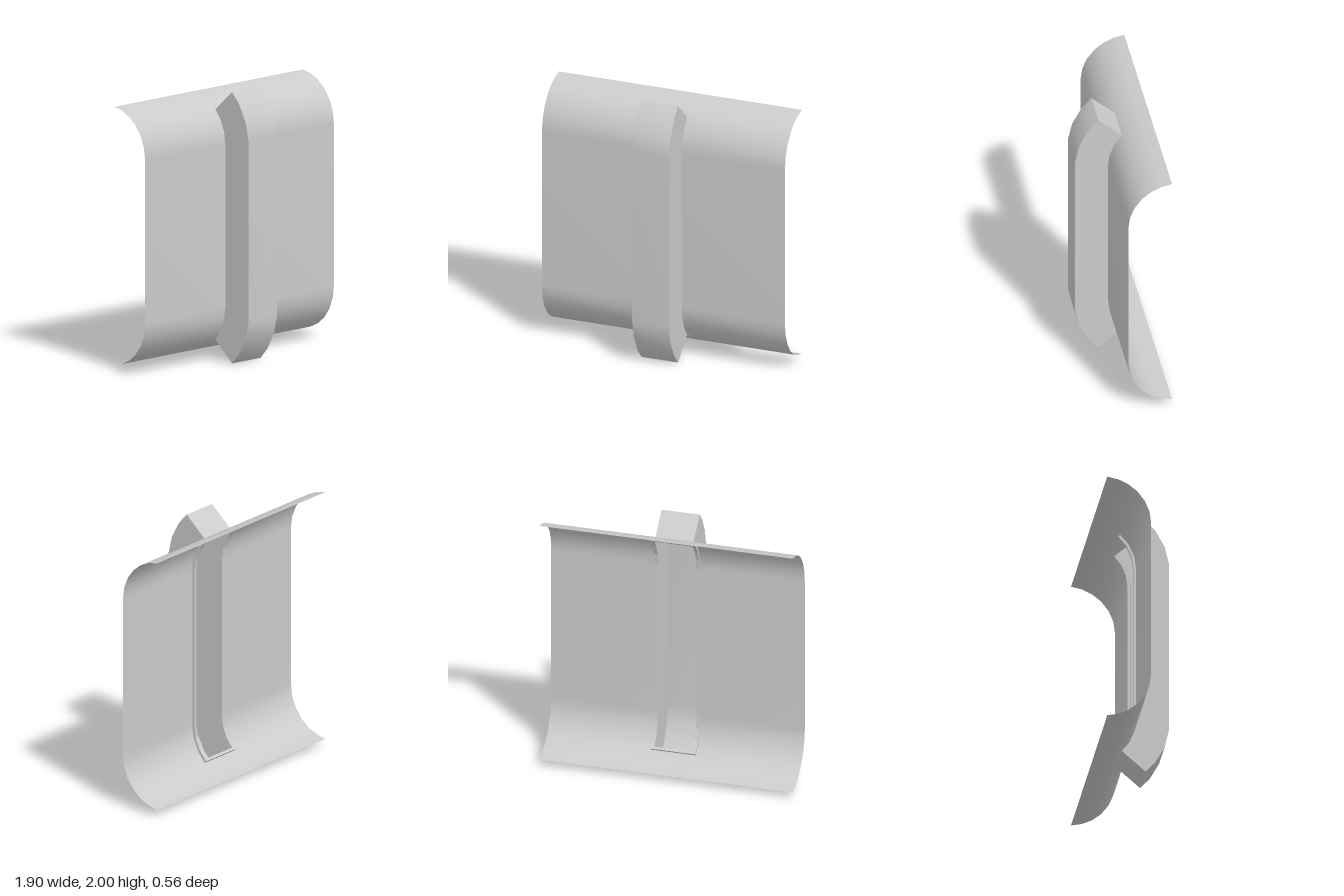
import * as THREE from 'three';

const R = 0.351, ZC = -0.311, YC = 1.6;     // bend radius and upper bend centre
const SLOT = 0.782, RIM = 0.841, END = 1.482; // bend angles: slot end, rim end, panel edge
const W = 0.143, RIM_W = 0.167, PANEL_W = 0.95;

// Surface over a grid of points; skip(row, column) leaves holes
function grid(rows, skip = () => false) {
  const n = rows[0].length, index = [];
  for (let i = 0; i < rows.length - 1; i++) {
    for (let j = 0; j < n - 1; j++) {
      if (skip(i, j)) continue;
      const a = i * n + j, b = a + 1, c = a + n, d = c + 1;
      index.push(a, b, d, a, d, c);
    }
  }
  const g = new THREE.BufferGeometry().setFromPoints(rows.flat());
  g.setIndex(index);
  g.computeVertexNormals();
  return g;
}

// Mirrors an upper [z, y] profile (top first) to the bottom
const mirrored = (top) => [...top, ...top.map(([z, y]) => [z, 2 - y]).reverse()];

// Panel profile: bend, flat, bend, for the given angles and radius
const bend = (angles, r = R) =>
  mirrored(angles.map((a) => [ZC + r * Math.cos(a), YC + r * Math.sin(a)]));

const at = (profile, x) => profile.map(([z, y]) => new THREE.Vector3(x, y, z));
const steps = (end) => [1, 2 / 3, 1 / 3, 0].map((t) => t * end);

export function createModel() {
  const group = new THREE.Group();
  const material = (flatShading = false) =>
    new THREE.MeshStandardMaterial({ color: 0xcccccc, side: THREE.DoubleSide, flatShading });
  const add = (parent, name, geometry, flat) => {
    const mesh = new THREE.Mesh(geometry, material(flat));
    mesh.name = name;
    parent.add(mesh);
  };

  // Thin panel, curled back at top and bottom, with a slot behind the rib
  const lip = [3, 2, 1].map((k) => SLOT + (END - SLOT) * k / 3);
  const panel = bend([...lip, ...steps(SLOT)]);
  const columns = [-PANEL_W, -W, W, PANEL_W].map((x) => at(panel, x));
  const last = panel.length - 2;
  add(group, 'panel', grid(columns, (i, j) => i === 1 && j >= 3 && j <= last - 3));

  // Hollow rib, open at the back
  const rib = new THREE.Group();
  rib.name = 'rib';
  group.add(rib);
  const outer = mirrored([[0.11, 2], [0.182, 1.922], [0.251, 1.795], [0.282, 1.66]]);
  const inner = bend(steps(SLOT));
  add(rib, 'ribFront', grid([at(outer, -W), at(outer, W)]));
  for (const x of [-W, W]) add(rib, 'ribSide', grid([at(inner, x), at(outer, x)]));
  for (const k of [0, outer.length - 1]) {
    const edge = [inner[k], outer[k]];
    add(rib, 'ribEnd', grid([at(edge, -W), at(edge, W)]));
  }

  // Rim frame around the slot, on the back of the panel
  const loop = (w, end, r) => {
    const p = bend(steps(end), r);
    const points = [...at(p, w), ...at(p, -w).reverse()];
    return [...points, points[0]];
  };
  const front = R - 0.001, back = R - 0.021;
  add(group, 'slotRim', grid([
    loop(RIM_W, RIM, front), loop(RIM_W, RIM, back),
    loop(W, SLOT, back), loop(W, SLOT, front),
  ]), true);

  return group;
}
